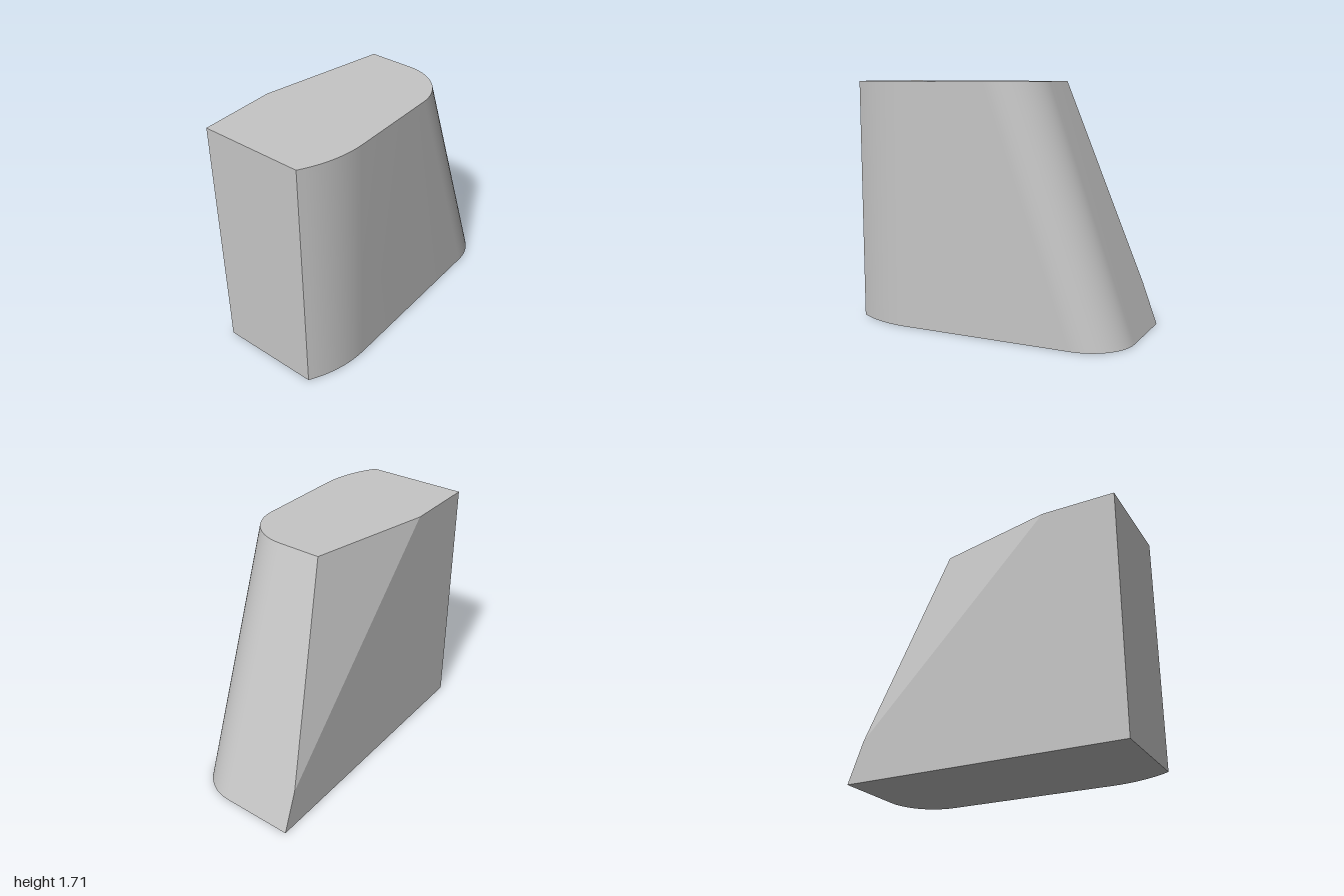
import * as THREE from 'three';
import { toCreasedNormals } from 'three/addons/utils/BufferGeometryUtils.js';

const HEIGHT = 1.705;
const LEAN = -0.62; // sideways shift of the sloping end from base to top

export function createModel() {
  const grey = new THREE.MeshStandardMaterial({ color: 0xc6c6c6 });
  grey.name = 'plain grey';

  const v = (x, y, z) => new THREE.Vector3(x, y, z);
  const backZ = (x) => -0.4 - 0.0176 * (x + 1); // slightly skewed back plane

  // Base and top outlines along the front, from the upright end to the sloping end
  const shallow = new THREE.QuadraticBezierCurve(
    new THREE.Vector2(-0.99, 0.31), new THREE.Vector2(-0.79, 0.43), new THREE.Vector2(-0.57, 0.43));
  const base = [], top = [];
  for (const p of shallow.getPoints(10)) {
    base.push(v(p.x, 0, p.y));
    top.push(v(p.x, HEIGHT, p.y));
  }
  const steps = 18;
  for (let i = 0; i <= steps; i++) {
    const a = (i / steps) * Math.PI / 2;
    const x = 0.67 + 0.327 * Math.sin(a);
    const z = 0.08 + 0.325 * Math.cos(a);
    base.push(v(x, 0, z));
    top.push(v(x + LEAN, HEIGHT, z + 0.013 * Math.cos(a)));
  }
  const n = base.length;

  // Corners of the back, including the three corners of the bevel
  const baseBackUpright = v(-1, 0, backZ(-1));
  const topBackUpright = v(-1, HEIGHT, backZ(-1));
  const baseBackSloped = v(0.991, 0, backZ(0.991));
  const bevelTopInner = v(-0.48, HEIGHT, backZ(-0.48));
  const bevelTopOuter = v(0.373, HEIGHT, -0.228);
  const bevelLow = v(0.885, 0.29, backZ(0.885));

  // Convex faces as fans, turned to point away from the middle of the block
  const middle = v(-0.15, HEIGHT / 2, 0);
  const positions = [];
  const face = (...pts) => {
    for (let i = 1; i < pts.length - 1; i++) {
      let [a, b, c] = [pts[0], pts[i], pts[i + 1]];
      const normal = b.clone().sub(a).cross(c.clone().sub(a));
      if (normal.dot(a.clone().sub(middle)) < 0) [b, c] = [c, b];
      for (const p of [a, b, c]) positions.push(p.x, p.y, p.z);
    }
  };

  // Rounded front wall
  for (let i = 0; i < n - 1; i++) face(base[i], base[i + 1], top[i + 1], top[i]);
  // Upright end, sloping end
  face(base[0], top[0], topBackUpright, baseBackUpright);
  face(base[n - 1], top[n - 1], bevelTopOuter, bevelLow, baseBackSloped);
  // Back and its bevelled corner
  face(baseBackUpright, topBackUpright, bevelTopInner, bevelLow, baseBackSloped);
  face(bevelTopInner, bevelTopOuter, bevelLow);
  // Top and underside
  face(topBackUpright, ...top, bevelTopOuter, bevelTopInner);
  face(baseBackUpright, ...base, baseBackSloped);

  const geometry = new THREE.BufferGeometry();
  geometry.setAttribute('position', new THREE.Float32BufferAttribute(positions, 3));
  const block = new THREE.Mesh(toCreasedNormals(geometry, 0.17), grey);
  block.name = 'wedgeBlock';

  const group = new THREE.Group();
  group.name = 'roundedWedge';
  group.add(block);
  return group;
}
